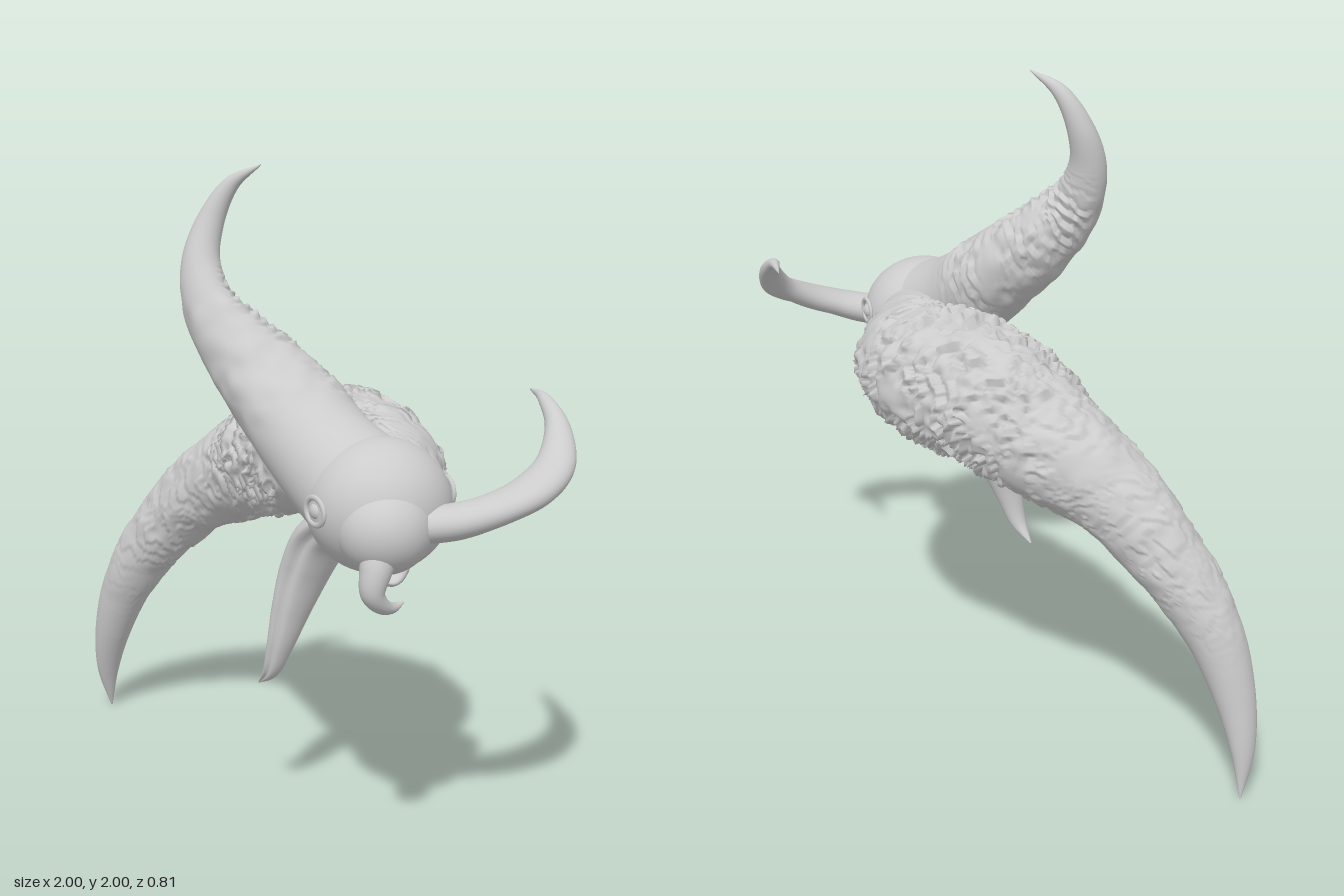
import * as THREE from 'three';

const material = new THREE.MeshStandardMaterial({ color: 0xcccccc, side: THREE.DoubleSide });
const { smoothstep, lerp } = THREE.MathUtils;

// Seeded smooth value noise in 3D, 0..1
function hash(x, y, z) {
  const s = Math.sin(x * 127.1 + y * 311.7 + z * 74.7) * 43758.5453;
  return s - Math.floor(s);
}
function noise(p, k) {
  const [x, y, z] = [p.x * k, p.y * k, p.z * k];
  const [i, j, l] = [Math.floor(x), Math.floor(y), Math.floor(z)];
  const [u, v, w] = [x - i, y - j, z - l].map(f => f * f * (3 - 2 * f));
  const row = (b, c) => lerp(hash(i, b, c), hash(i + 1, b, c), u);
  return lerp(lerp(row(j, l), row(j + 1, l), v), lerp(row(j, l + 1), row(j + 1, l + 1), v), w);
}

// Tapered sweep through stations [x, y, z, radius across, radius along ref]
function sweep(name, stations, ref, rings, sides, offset = () => 0) {
  const path = new THREE.CatmullRomCurve3(stations.map(s => new THREE.Vector3(s[0], s[1], s[2])));
  const radii = new THREE.CatmullRomCurve3(stations.map(s => new THREE.Vector3(s[3], s[4], 0)), false, 'catmullrom', 0.5);
  const positions = [], index = [];
  for (let i = 0; i <= rings; i++) {
    const t = i / rings;
    const c = path.getPoint(t), T = path.getTangent(t), r = radii.getPoint(t);
    const B = ref.clone().addScaledVector(T, -ref.dot(T)).normalize();
    const N = new THREE.Vector3().crossVectors(B, T);
    for (let j = 0; j < sides; j++) {
      const a = j / sides * Math.PI * 2;
      const d = N.clone().multiplyScalar(Math.cos(a) * Math.max(r.x, 0.001))
        .addScaledVector(B, Math.sin(a) * Math.max(r.y, 0.001));
      const p = c.clone().add(d);
      p.addScaledVector(d.normalize(), offset(t, a, p, r));
      positions.push(p.x, p.y, p.z);
      if (i < rings) {
        const q = i * sides + j, n = i * sides + (j + 1) % sides;
        index.push(q, n, q + sides, n, n + sides, q + sides);
      }
    }
  }
  const g = new THREE.BufferGeometry();
  g.setAttribute('position', new THREE.Float32BufferAttribute(positions, 3));
  g.setIndex(index);
  g.computeVertexNormals();
  const mesh = new THREE.Mesh(g, material);
  mesh.name = name;
  return mesh;
}

function ball(name, x, y, z, rx, ry, rz) {
  const mesh = new THREE.Mesh(new THREE.SphereGeometry(1, 48, 32), material);
  mesh.name = name;
  mesh.position.set(x, y, z);
  mesh.scale.set(rx, ry, rz);
  return mesh;
}

// Ragged overlapping scales: a sawtooth along the length, broken up by noise
function scales(t, p, rows) {
  const s = t * rows + noise(p, 14) * 2.5 + noise(p, 30) * 1.2;
  return (s - Math.floor(s) - 0.5) * smoothstep(noise(p, 11), 0.15, 0.6);
}

export function createModel() {
  const group = new THREE.Group();
  const X = new THREE.Vector3(1, 0, 0), Y = new THREE.Vector3(0, 1, 0), Z = new THREE.Vector3(0, 0, 1);

  // Shaggy body running into a long smooth-tipped tail
  group.add(sweep('bodyAndTail', [
    [0.62, 1.1, 0.18, 0.13, 0.13],
    [0.48, 1.1, 0.05, 0.13, 0.15],
    [0.31, 1.09, -0.08, 0.165, 0.2],
    [0.1, 1.09, -0.14, 0.205, 0.235],
    [-0.13, 1.07, -0.13, 0.2, 0.22],
    [-0.35, 0.99, -0.1, 0.175, 0.18],
    [-0.54, 0.88, -0.03, 0.14, 0.135],
    [-0.71, 0.71, 0.04, 0.112, 0.112],
    [-0.84, 0.51, 0.1, 0.088, 0.09],
    [-0.92, 0.31, 0.125, 0.06, 0.065],
    [-0.965, 0.15, 0.122, 0.033, 0.04],
    [-0.985, 0, 0.1, 0.003, 0.003],
  ], Z, 280, 130, (t, a, p) => {
    const shag = smoothstep(t, 0.1, 0.2) * (1 - smoothstep(t, 0.42, 0.5));
    const fade = smoothstep(t, 0.06, 0.14) * (1 - smoothstep(t, 0.6, 0.8));
    return scales(t, p, 50) * (0.03 * shag + 0.008 * fade) + (noise(p, 16) - 0.5) * 0.014 * fade;
  }));

  // Tall curved crest, scaly behind and smooth in front
  group.add(sweep('crest', [
    [0.62, 1.1, 0.2, 0.17, 0.19],
    [0.44, 1.19, 0.21, 0.155, 0.165],
    [0.28, 1.31, 0.225, 0.14, 0.16],
    [0.13, 1.44, 0.27, 0.122, 0.125],
    [0.02, 1.575, 0.322, 0.09, 0.08],
    [-0.04, 1.71, 0.318, 0.061, 0.058],
    [-0.045, 1.83, 0.28, 0.042, 0.042],
    [0.0, 1.94, 0.235, 0.024, 0.024],
    [0.085, 1.998, 0.19, 0.002, 0.002],
  ], Z, 170, 72, (t, a, p) => {
    const fade = smoothstep(t, 0.15, 0.28) * (1 - smoothstep(t, 0.45, 0.65));
    return fade * (scales(t, p, 40) * 0.024 * smoothstep(-Math.sin(a), -0.1, 0.6) + (noise(p, 18) - 0.5) * 0.012);
  }));

  // Leaf-shaped fin hanging below, creased down its front edge
  group.add(sweep('lowerFin', [
    [0.54, 1.06, 0.13, 0.07, 0.1],
    [0.4, 1.0, 0.1, 0.055, 0.1],
    [0.28, 0.92, 0.1, 0.062, 0.11],
    [0.225, 0.81, 0.125, 0.06, 0.095],
    [0.195, 0.68, 0.16, 0.048, 0.07],
    [0.172, 0.56, 0.187, 0.036, 0.046],
    [0.14, 0.47, 0.198, 0.024, 0.028],
    [0.08, 0.415, 0.2, 0.002, 0.004],
  ], Z, 70, 36, (t, a, p, r) => -0.35 * r.x * Math.exp(-Math.pow((a - 1.2) / 0.3, 2))));

  // Round head with a fuller snout
  group.add(ball('head', 0.64, 1.095, 0.195, 0.198, 0.19, 0.207));
  group.add(ball('snout', 0.735, 1.055, 0.255, 0.13, 0.125, 0.135));

  // Eye on each side: a low lid ring round a small eyeball
  for (const [x, y, z] of [[0.61, 1.1, 0.4], [0.71, 1.12, 0.0]]) {
    const eye = new THREE.Group();
    eye.name = 'eye';
    const lid = new THREE.Mesh(new THREE.TorusGeometry(0.042, 0.009, 12, 36), material);
    lid.name = 'eyelid';
    lid.scale.set(1.15, 0.9, 0.7);
    lid.position.z = -0.004;
    eye.add(lid, ball('eyeball', 0, 0, -0.012, 0.027, 0.024, 0.02));
    eye.position.set(x, y, z);
    eye.lookAt(x + (x - 0.64), y, z + (z - 0.195));
    group.add(eye);
  }

  // Broad flattened horn sweeping round to the back, hollowed on its inner face
  group.add(sweep('horn', [
    [0.77, 1.06, 0.2, 0.06, 0.05],
    [0.85, 1.075, 0.1, 0.07, 0.05],
    [0.905, 1.105, 0.0, 0.072, 0.046],
    [0.928, 1.145, -0.11, 0.072, 0.046],
    [0.908, 1.2, -0.215, 0.058, 0.042],
    [0.835, 1.285, -0.295, 0.036, 0.032],
    [0.73, 1.345, -0.345, 0.018, 0.017],
    [0.62, 1.352, -0.4, 0.002, 0.003],
  ], Y, 80, 36, (t, a, p, r) =>
    -0.4 * r.y * Math.exp(-Math.pow((a - 4.71) / 0.5, 2)) * smoothstep(t, 0.15, 0.4)));

  // Hooked beak curling back under the snout
  group.add(sweep('beak', [
    [0.765, 1.02, 0.29, 0.06, 0.055],
    [0.785, 0.96, 0.325, 0.045, 0.045],
    [0.787, 0.9, 0.337, 0.033, 0.036],
    [0.785, 0.86, 0.305, 0.024, 0.03],
    [0.778, 0.845, 0.262, 0.015, 0.022],
    [0.772, 0.85, 0.215, 0.002, 0.004],
  ], X, 50, 28));

  // Lower jaw lip behind the beak
  group.add(sweep('lowerJaw', [
    [0.72, 0.99, 0.2, 0.05, 0.06],
    [0.745, 0.935, 0.225, 0.03, 0.045],
    [0.765, 0.915, 0.26, 0.015, 0.03],
    [0.77, 0.92, 0.29, 0.002, 0.004],
  ], X, 24, 24));

  return group;
}
